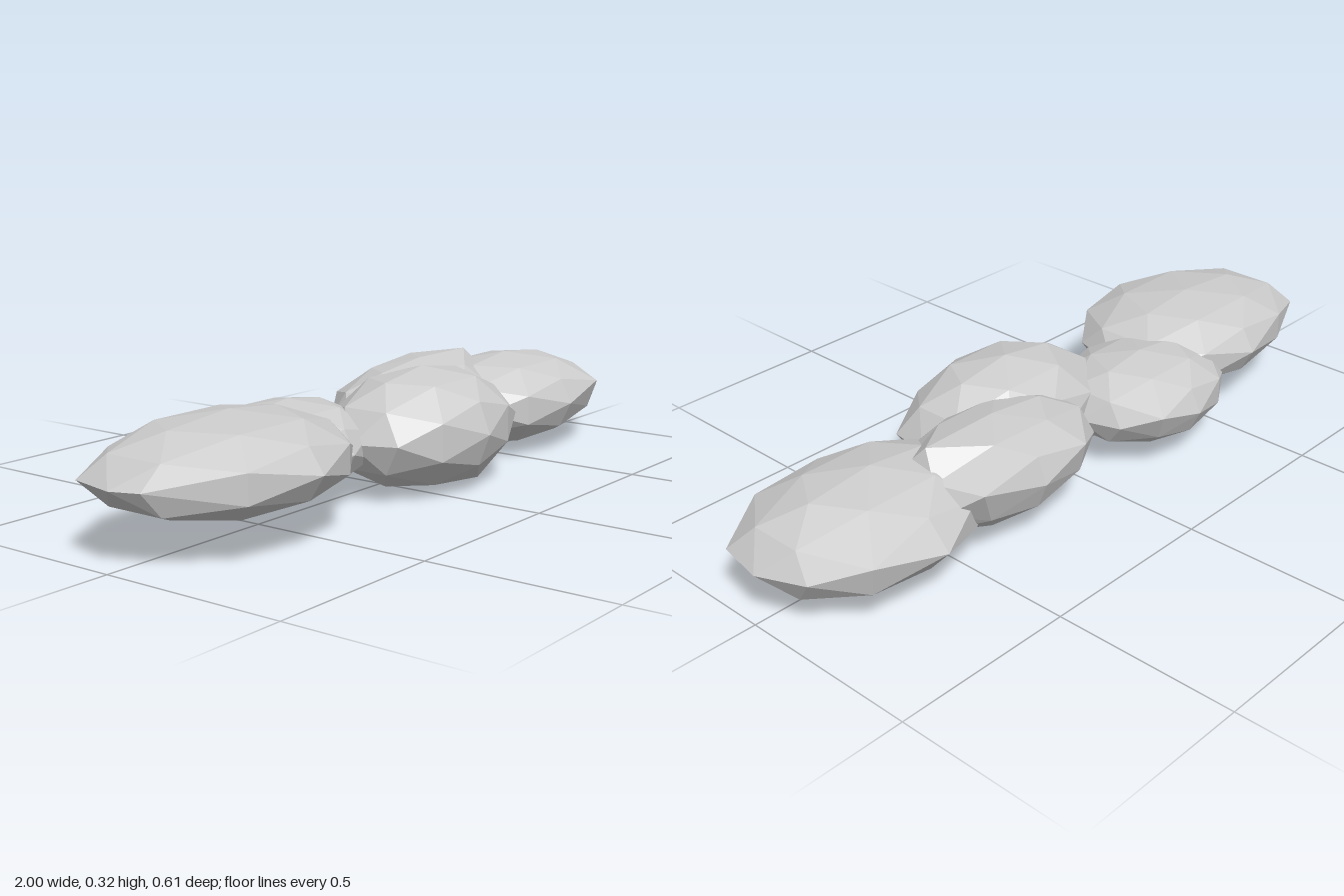
import * as THREE from 'three';

const grey = new THREE.MeshStandardMaterial({ color: 0xcccccc });
grey.name = 'cloudGrey';
grey.flatShading = true;

// A puff is a faceted ball with its own reach to each side of its centre.
// neg / pos: reach towards -x,-y,-z and +x,+y,+z.
// nudges: [direction of a corner, offset] for the uneven corners.
function puff(name, centre, neg, pos, nudges = []) {
  const geometry = new THREE.IcosahedronGeometry(1, 1);
  const position = geometry.attributes.position;
  const v = new THREE.Vector3();
  const dir = new THREE.Vector3();
  for (let i = 0; i < position.count; i++) {
    dir.fromBufferAttribute(position, i);
    v.set(
      dir.x * (dir.x < 0 ? neg[0] : pos[0]),
      dir.y * (dir.y < 0 ? neg[1] : pos[1]),
      dir.z * (dir.z < 0 ? neg[2] : pos[2])
    );
    for (const [d, offset] of nudges) {
      if (dir.distanceTo(new THREE.Vector3(...d)) < 0.1) v.add(new THREE.Vector3(...offset));
    }
    position.setXYZ(i, v.x, v.y, v.z);
  }
  geometry.computeVertexNormals();
  const mesh = new THREE.Mesh(geometry, grey);
  mesh.name = name;
  mesh.position.set(...centre);
  return mesh;
}

export function createModel() {
  const cloud = new THREE.Group();
  cloud.name = 'cloud';

  // Large puffs at both ends
  cloud.add(puff('rightEndPuff', [-0.61, 0.19, 0.01], [0.39, 0.125, 0.25], [0.33, 0.12, 0.29], [
    [[-0.85, 0, 0.526], [-0.03, 0, -0.08]],
    [[-0.85, 0, -0.526], [-0.03, 0, 0]]
  ]));
  cloud.add(puff('leftEndPuff', [0.64, 0.145, -0.015], [0.33, 0.135, 0.235], [0.36, 0.133, 0.265].map((r, i) => i === 2 ? 0.235 : r), [
    [[0.85, 0, 0.526], [0.03, 0, 0.01]],
    [[0, 0, -1], [0, 0, -0.03]],
    [[0.5, 0.309, -0.809], [0.02, 0, -0.04]],
    [[0.5, -0.309, -0.809], [0.01, 0, -0.02]],
    [[0.5, 0.309, 0.809], [0, 0, 0.03]]
  ]));

  // Front puff, the tallest
  cloud.add(puff('frontPuff', [0.07, 0.163, 0.085], [0.31, 0.163, 0.21], [0.31, 0.162, 0.22], [
    [[0.85, 0, 0.526], [0.03, 0, 0]],
    [[0.309, -0.809, 0.5], [0, -0.015, 0.01]]
  ]));

  // Two puffs behind
  cloud.add(puff('backRightPuff', [-0.28, 0.15, -0.09], [0.28, 0.12, 0.215], [0.25, 0.12, 0.22], [
    [[0.5, 0.309, -0.809], [0.02, 0, -0.03]],
    [[-0.526, -0.85, 0], [-0.02, -0.012, 0]]
  ]));
  cloud.add(puff('backLeftPuff', [0.29, 0.165, -0.08], [0.33, 0.135, 0.185], [0.32, 0.135, 0.18], [
    [[0.526, 0.85, 0], [0.06, 0.018, 0]],
    [[0.309, 0.809, -0.5], [0, 0.015, -0.01]],
    [[0.5, 0.309, -0.809], [0.05, 0.02, -0.03]],
    [[-0.5, 0.309, -0.809], [0, 0, -0.02]]
  ]));

  return cloud;
}
